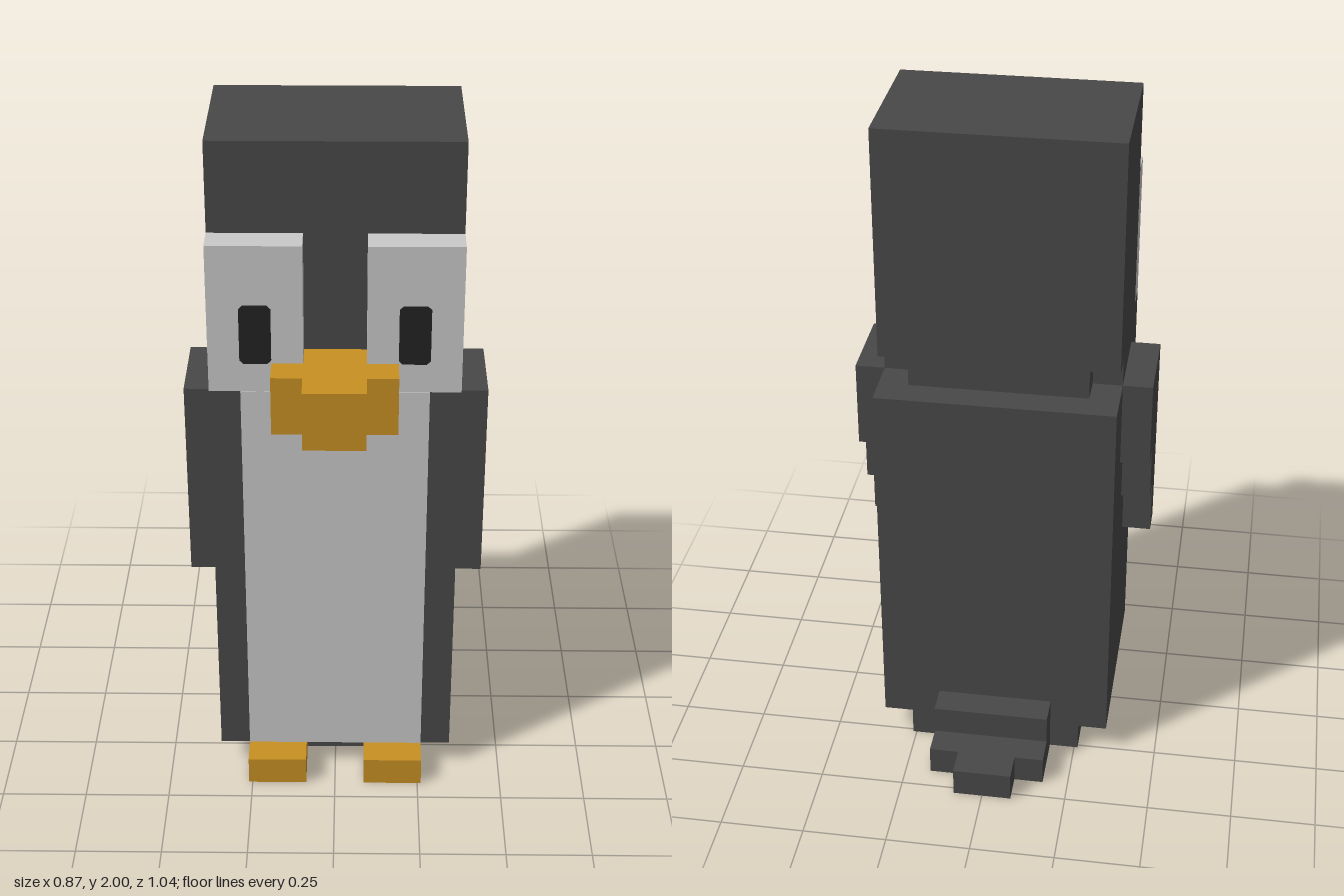
import * as THREE from 'three';

const U = 2 / 23; // one voxel

const mat = (name, color) => {
  const m = new THREE.MeshStandardMaterial({ color });
  m.name = name;
  return m;
};

export function createModel() {
  const dark = mat('charcoal', 0x484848);
  const white = mat('pale grey', 0xc9c9c9);
  const orange = mat('orange', 0xc89022);
  const black = mat('black', 0x222222);

  const model = new THREE.Group();
  model.name = 'penguin';

  // Box between two corners given in voxels
  const block = (name, material, [x0, x1], [y0, y1], [z0, z1], parent = model) => {
    const g = new THREE.BoxGeometry((x1 - x0) * U, (y1 - y0) * U, (z1 - z0) * U);
    g.translate((x0 + x1) / 2 * U, (y0 + y1) / 2 * U, (z0 + z1) / 2 * U);
    const mesh = new THREE.Mesh(g, material);
    mesh.name = name;
    parent.add(mesh);
    return mesh;
  };
  const group = (name) => {
    const g = new THREE.Group();
    g.name = name;
    model.add(g);
    return g;
  };

  // Body, neck with notched back corners, head
  block('base', dark, [-3, 3], [0, 1], [-3, 3]);
  block('body', dark, [-4, 4], [1, 14], [-3, 4]);
  block('chest', dark, [-4, 4], [14, 15], [-1, 4]);
  block('nape', dark, [-3, 3], [14, 15], [-2, -1]);
  block('head', dark, [-4, 4], [15, 23], [-2, 3]);
  block('belly', white, [-3, 3], [1, 15], [4, 4.03]);

  // Beak
  const beak = group('beak');
  block('beakRoot', orange, [-1, 1], [15, 16], [3, 4.04], beak);
  block('beakBase', orange, [-2, 2], [14, 16], [4, 5], beak);
  block('beakTip', orange, [-1, 1], [14, 16], [5, 6], beak);

  // Tail
  const tail = group('tail');
  block('tailBase', dark, [-2, 2], [0, 2], [-4, -3], tail);
  block('tailMiddle', dark, [-2, 2], [0, 1], [-5, -4], tail);
  block('tailTip', dark, [-1, 1], [0, 1], [-6, -5], tail);

  // Eye outline with clipped corners
  const c = 0.12;
  const eyeShape = new THREE.Shape([
    [c, 0], [1 - c, 0], [1, c], [1, 2 - c], [1 - c, 2], [c, 2], [0, 2 - c], [0, c],
  ].map(([x, y]) => new THREE.Vector2(x * U, y * U)));

  // Mirrored parts
  for (const [side, s] of [['left', 1], ['right', -1]]) {
    const span = (a, b) => (s > 0 ? [a, b] : [-b, -a]);
    block(side + 'Cheek', white, span(1, 4), [15, 20], [3, 4]);
    block(side + 'Foot', orange, span(1, 3), [0, 1], [3, 5]);

    const eye = new THREE.Mesh(
      new THREE.ExtrudeGeometry(eyeShape, { depth: 0.004, bevelEnabled: false }), black);
    eye.name = side + 'Eye';
    eye.position.set(span(2, 3)[0] * U, 16 * U, 4 * U);
    model.add(eye);

    // Stepped wing, longest at the front
    const wing = group(side + 'Wing');
    [[-1, 11], [0, 9], [1, 7]].forEach(([z, bottom]) =>
      block('wingStep', dark, span(4, 5), [bottom, 14], [z, z + 1], wing));
  }
  return model;
}
